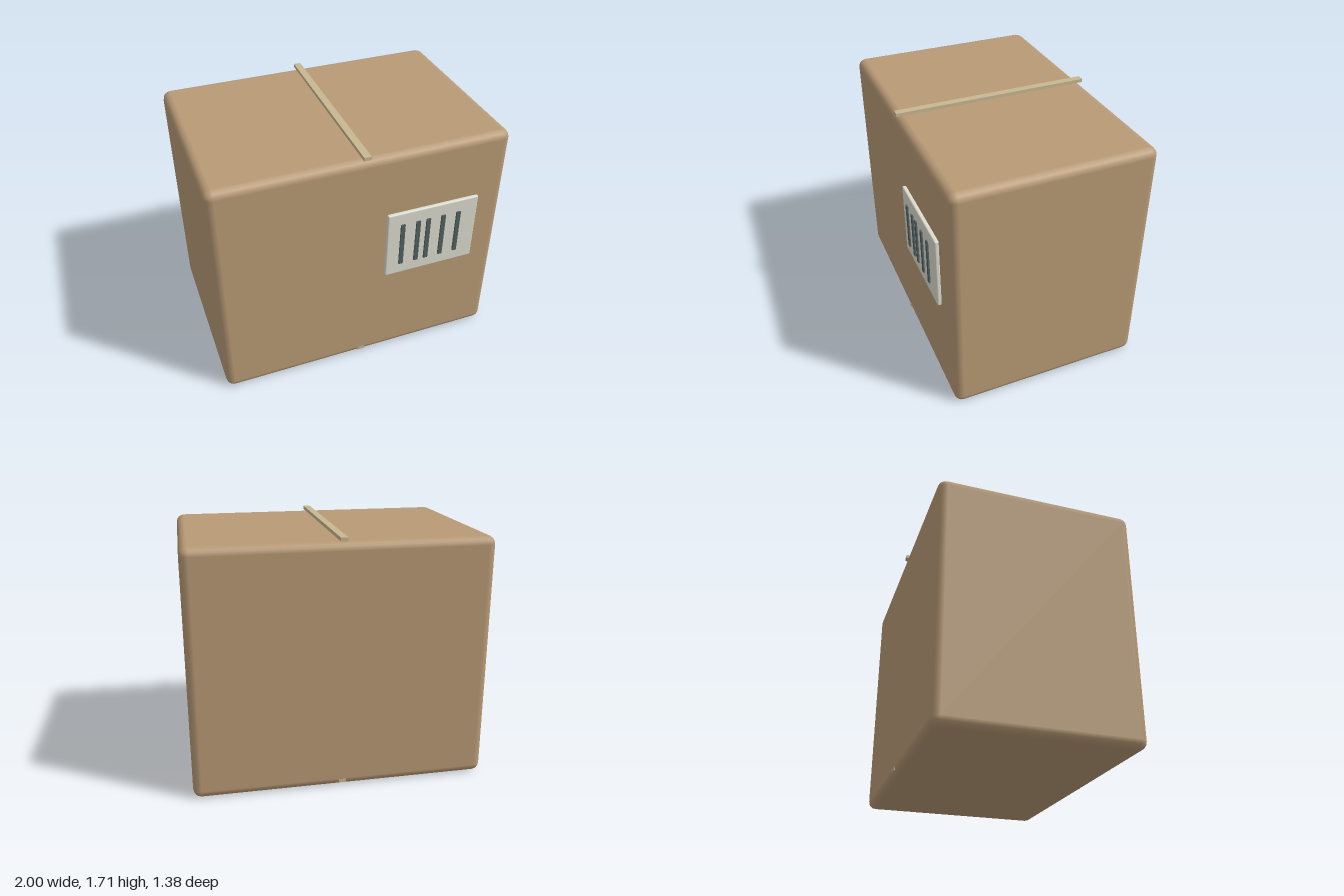
import * as THREE from 'three';
import { RoundedBoxGeometry } from 'three/addons/geometries/RoundedBoxGeometry.js';

const material = (color) => new THREE.MeshStandardMaterial({ color });

// Box from its min and max corners, with rounded edges when a radius is given
function block(name, min, max, mat, radius = 0) {
  const size = max.map((v, i) => v - min[i]);
  const geometry = radius
    ? new RoundedBoxGeometry(...size, 2, radius)
    : new THREE.BoxGeometry(...size);
  const mesh = new THREE.Mesh(geometry, mat);
  mesh.name = name;
  mesh.position.set(...max.map((v, i) => (v + min[i]) / 2));
  return mesh;
}

export function createModel() {
  const model = new THREE.Group();
  model.name = 'cardboardBox';
  const cardboard = material(0xb99b76);
  const tape = material(0xc8b892);
  const paper = material(0xdcdcd0);
  const ink = material(0x526060);
  const back = -0.692, front = 0.649;

  // Carton with softened edges
  model.add(block('carton', [-1, 0, back], [1, 1.676, front], cardboard, 0.055));

  // Tape strips along the top and bottom seams
  model.add(block('topTape', [-0.024, 1.682, back], [0.024, 1.706, front], tape));
  model.add(block('bottomTape', [-0.024, 0.024, back], [0.024, 0.048, front], tape));

  // Shipping label with raised printed bars
  const label = new THREE.Group();
  label.name = 'shippingLabel';
  label.add(block('labelPlate', [0.144, 0.73, 0.653], [0.797, 1.24, 0.682], paper, 0.01));
  for (const x of [0.251, 0.362, 0.435, 0.544, 0.655]) {
    label.add(block('labelBar', [x - 0.015, 0.82, 0.672], [x + 0.015, 1.15, 0.692], ink));
  }
  model.add(label);
  return model;
}
